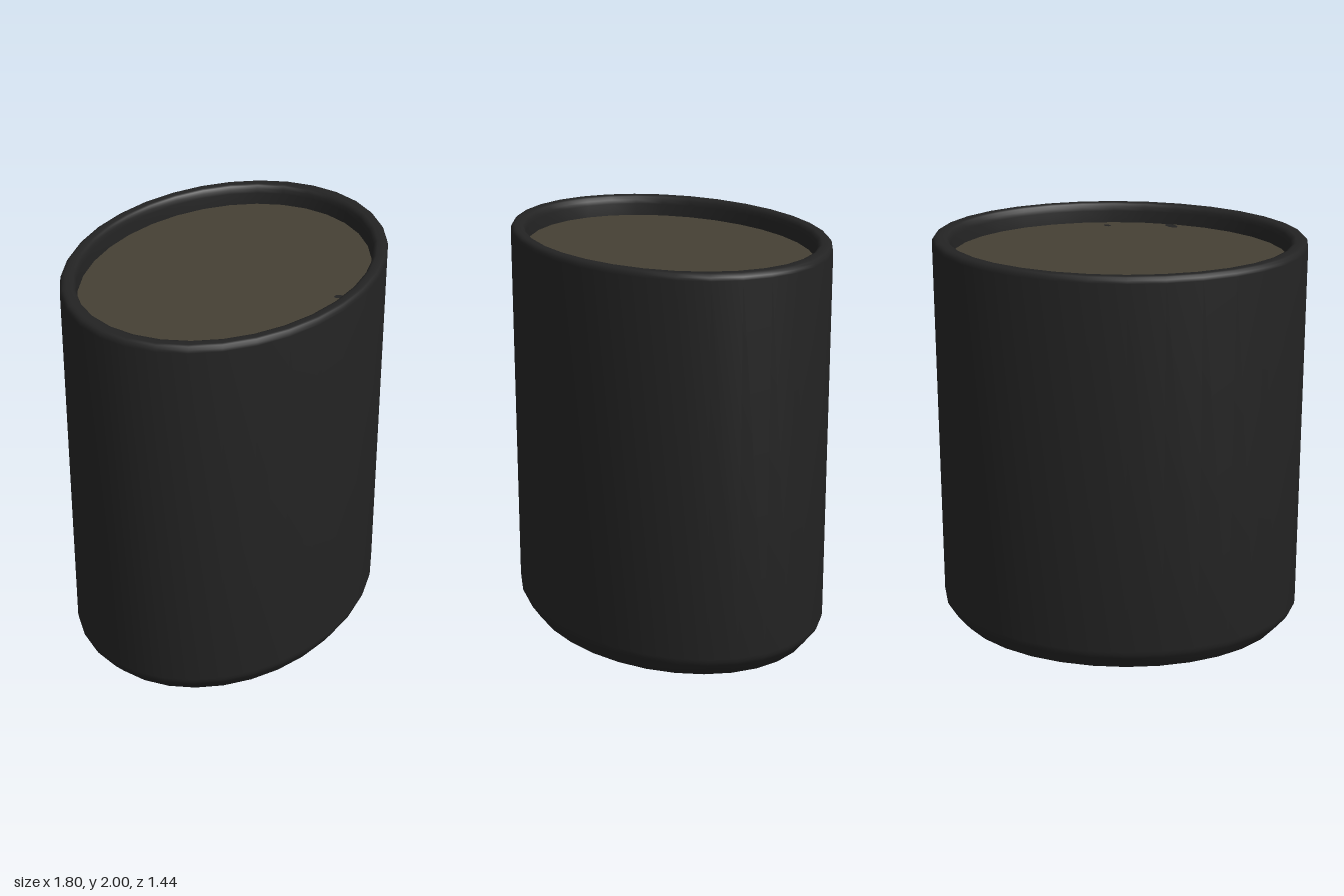
import * as THREE from 'three';
import { toCreasedNormals } from 'three/addons/utils/BufferGeometryUtils.js';

const SIDES = 32;
const HALF_STEP = Math.PI / SIDES;
const SEMI_LONG = 0.912, SEMI_SHORT = 0.709, TURN = 0.237;
const SOIL_Y = 1.9;

// Stretches a unit-radius shape to the pot's oval and turns it about y
function toOval(geometry) {
  return geometry.scale(SEMI_LONG, 1, SEMI_SHORT).rotateY(TURN);
}

export function createModel() {
  const group = new THREE.Group();
  const potMaterial = new THREE.MeshStandardMaterial({ color: 0x232323 });
  potMaterial.name = 'charcoal';
  const soilMaterial = new THREE.MeshStandardMaterial({ color: 0x454034 });
  soilMaterial.name = 'soil brown';

  const add = (name, geometry, material) => {
    const mesh = new THREE.Mesh(geometry, material);
    mesh.name = name;
    group.add(mesh);
    return mesh;
  };

  // Pot: base, chamfered foot, straight wall, rounded rim, inner wall
  const profile = [
    [0, 0], [0.92, 0], [0.985, 0.07], [0.997, 0.09], [1, 0.11],
    [1, 1.97], [0.997, 1.985], [0.985, 1.997], [0.97, 2],
    [0.935, 2], [0.92, 1.995], [0.91, 1.98], [0.905, 1.96], [0.9, 1.87],
  ].map(([r, y]) => new THREE.Vector2(r, y));
  const pot = toOval(new THREE.LatheGeometry(profile, SIDES, HALF_STEP));
  add('pot', toCreasedNormals(pot, 0.75), potMaterial);

  // Soil surface just below the rim
  const soil = new THREE.CircleGeometry(0.903, SIDES, HALF_STEP).rotateX(-Math.PI / 2);
  add('soil', toOval(soil).translate(0, SOIL_Y, 0), soilMaterial);

  // Small dark flecks lying on the soil: x, z, half length, half width, turn
  const flecks = [[-0.08, 0.608, 0.045, 0.025, -0.6], [0.235, 0.513, 0.022, 0.016, -0.5]];
  for (const [x, z, length, width, turn] of flecks) {
    const fleck = new THREE.CircleGeometry(1, 7).rotateX(-Math.PI / 2);
    fleck.scale(length, 1, width).rotateY(turn);
    add('soilFleck', fleck.translate(x, SOIL_Y + 0.004, z), potMaterial);
  }

  return group;
}
